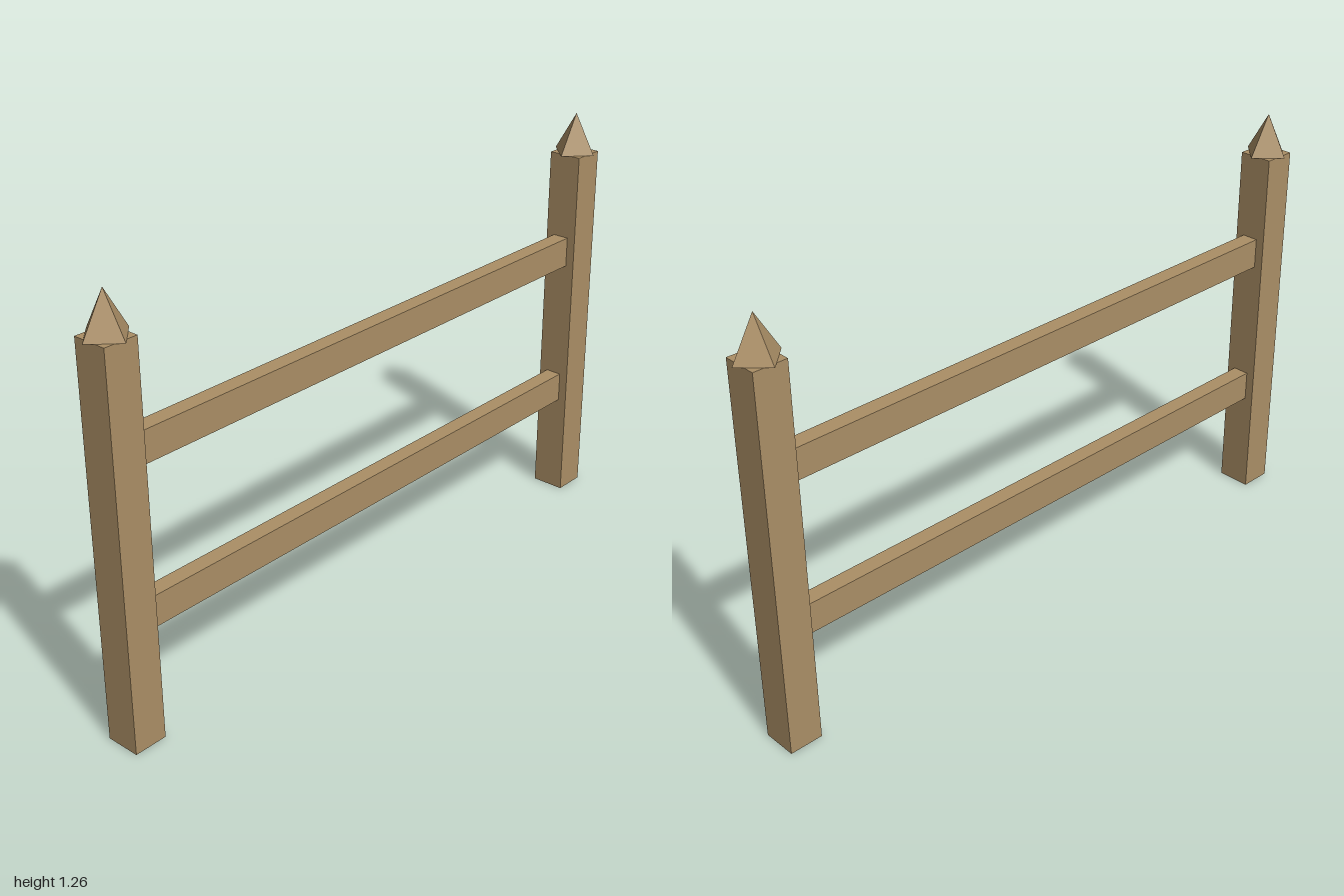
import * as THREE from 'three';

export function createModel() {
  const model = new THREE.Group();
  model.name = 'fence';
  const wood = new THREE.MeshStandardMaterial({ color: 0xab8f66, flatShading: true });
  wood.name = 'weathered wood';

  const add = (name, geometry, x, y) => {
    const mesh = new THREE.Mesh(geometry, wood);
    mesh.name = name;
    mesh.position.set(x, y, 0);
    model.add(mesh);
  };

  const postX = 0.93, postWidth = 0.1, postHeight = 1.138;
  const capRadius = 0.07, capHeight = 0.12;

  // Square posts, each with a four-sided point turned 45 degrees to the post
  for (const [side, s] of [['left', 1], ['right', -1]]) {
    add(`${side}Post`, new THREE.BoxGeometry(postWidth, postHeight, 0.104), s * postX, postHeight / 2);
    add(`${side}PostCap`, new THREE.ConeGeometry(capRadius, capHeight, 4), s * postX, postHeight + capHeight / 2);
  }

  // Two rails between the inner faces of the posts
  const railLength = 2 * postX - postWidth;
  for (const [name, y] of [['lowerRail', 0.365], ['upperRail', 0.83]]) {
    add(name, new THREE.BoxGeometry(railLength, 0.092, 0.05), 0, y);
  }

  return model;
}
